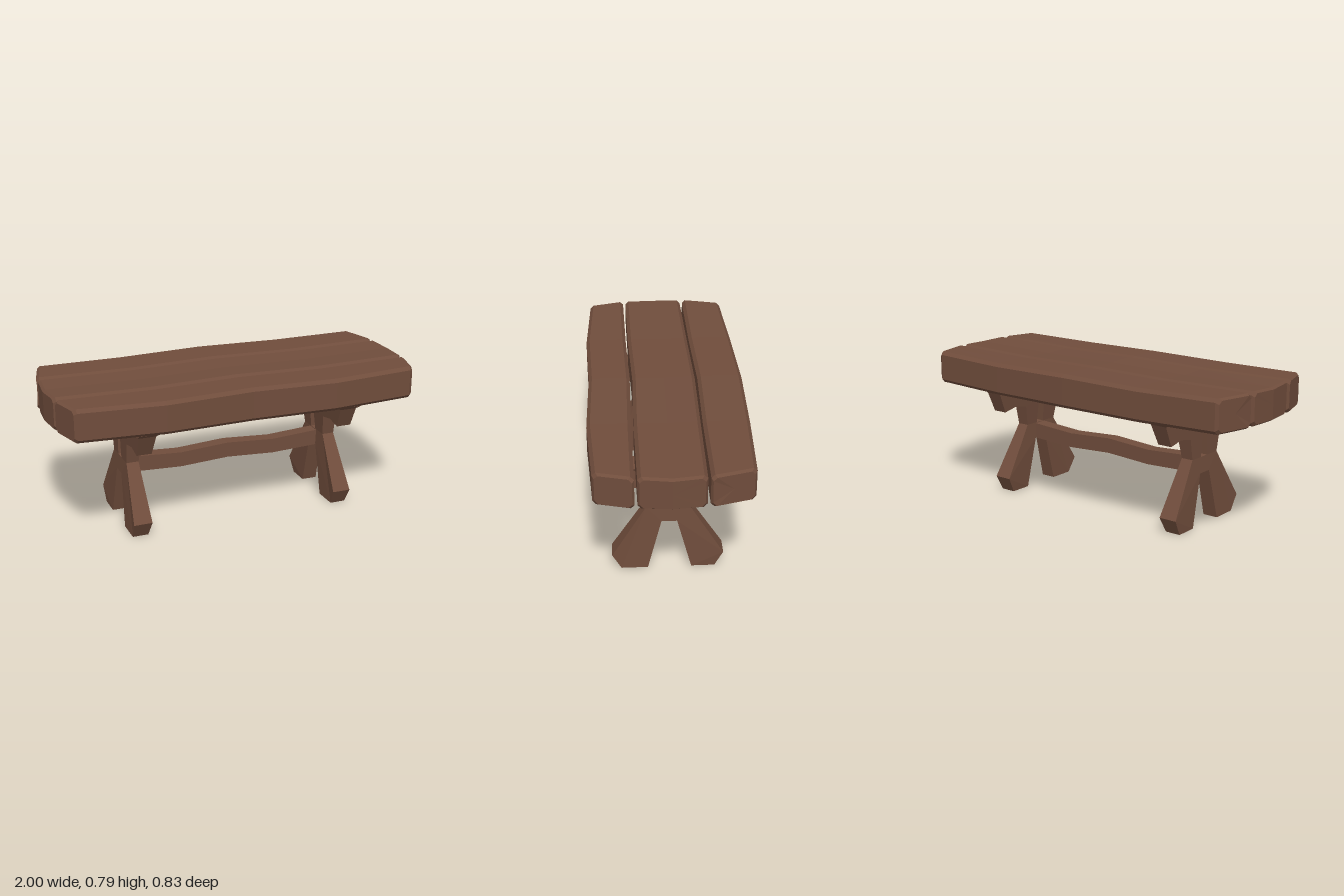
import * as THREE from 'three';

// Skin closed rings of [x, y, z] points (ordered along +x) and cap both ends
function loft(rings) {
  const pos = [];
  const tri = (a, b, c) => pos.push(...a, ...b, ...c);
  const n = rings[0].length;
  const centre = (r) => [0, 1, 2].map((k) => r.reduce((s, p) => s + p[k], 0) / n);
  // caps fan out from the middle of the two mid-width points
  const ridge = (r) => r.mids ? [0, 1, 2].map((k) => (r.mids[0][k] + r.mids[1][k]) / 2) : centre(r);
  const last = rings.length - 1;
  for (let i = 0; i < n; i++) {
    const j = (i + 1) % n;
    for (let s = 0; s < last; s++) {
      const A = rings[s], B = rings[s + 1];
      tri(A[i], A[j], B[j]);
      tri(A[i], B[j], B[i]);
    }
    tri(ridge(rings[last]), rings[last][i], rings[last][j]);
    tri(ridge(rings[0]), rings[0][j], rings[0][i]);
  }
  const geo = new THREE.BufferGeometry();
  geo.setAttribute('position', new THREE.Float32BufferAttribute(pos, 3));
  geo.computeVertexNormals();
  return geo;
}

// Chamfered plank section; xAt gives the x of a point from its z
function plankRing(xAt, z0, z1, y0, y1, inset, dip) {
  z0 += inset; z1 -= inset; y0 += inset; y1 -= inset;
  const cz = 0.018, cy = 0.018, m = (z0 + z1) / 2;
  const ring = [
    [z0, y0 + cy], [z0, y1 - cy], [z0 + cz, y1], [m, y1 - dip], [z1 - cz, y1],
    [z1, y1 - cy], [z1, y0 + cy], [z1 - cz, y0], [m, y0], [z0 + cz, y0],
  ].map(([z, y]) => [xAt(z), y, z]);
  ring.mids = [ring[3], ring[8]];
  return ring;
}

// zs lists [back, front] edges at the ends, the quarter points and the middle
function plank(zs, endX, dip) {
  const [end, quarter, mid] = zs;
  return loft([
    plankRing((z) => -endX(z), ...end, 0.612, 0.788, 0.01, dip),
    plankRing((z) => -endX(z) + 0.014, ...end, 0.612, 0.788, 0, dip),
    plankRing(() => -0.47, ...quarter, 0.605, 0.78, 0, dip),
    plankRing(() => 0, ...mid, 0.607, 0.787, 0, dip),
    plankRing(() => 0.47, ...quarter, 0.605, 0.78, 0, dip),
    plankRing((z) => endX(z) - 0.014, ...end, 0.612, 0.788, 0, dip),
    plankRing((z) => endX(z), ...end, 0.612, 0.788, 0.01, dip),
  ]);
}

// Inner and outer x of a trestle at height y
const WIDTHS = [
  [0, 0.535, 0.62], [0.085, 0.525, 0.625], [0.365, 0.537, 0.603],
  [0.48, 0.525, 0.605], [0.59, 0.515, 0.607], [0.607, 0.5, 0.625],
];
function trestleSpan(y) {
  let k = 0;
  while (k < WIDTHS.length - 2 && y > WIDTHS[k + 1][0]) k++;
  const a = WIDTHS[k], b = WIDTHS[k + 1];
  const t = THREE.MathUtils.clamp((y - a[0]) / (b[0] - a[0]), 0, 1);
  return [a[1] + (b[1] - a[1]) * t, a[2] + (b[2] - a[2]) * t];
}

// Cut-out trestle: splayed feet, waist with a slot, and brackets under the top
function trestle(side) {
  const pts = (list) => list.map(([z, y]) => new THREE.Vector2(z, y));
  const shape = new THREE.Shape(pts([
    [0.255, 0], [0.302, 0.085], [0.125, 0.365], [0.148, 0.478], [0.232, 0.495],
    [0.315, 0.478], [0.368, 0.59], [0.39, 0.607], [-0.36, 0.607], [-0.34, 0.59],
    [-0.29, 0.478], [-0.205, 0.495], [-0.12, 0.478], [-0.098, 0.365],
    [-0.272, 0.085], [-0.228, 0], [-0.107, 0], [-0.033, 0.28], [0.047, 0.28], [0.118, 0],
  ]));
  shape.holes.push(new THREE.Path(pts([[0.035, 0.365], [-0.02, 0.365], [-0.011, 0.51], [0.026, 0.51]])));
  const geo = new THREE.ExtrudeGeometry(shape, { depth: 1, bevelEnabled: false });
  geo.translate(0, 0, -0.5);
  geo.rotateY(-Math.PI / 2);
  const p = geo.attributes.position;
  for (let i = 0; i < p.count; i++) {
    const [inner, outer] = trestleSpan(p.getY(i));
    p.setX(i, side * (inner + outer) / 2 + p.getX(i) * (outer - inner));
  }
  geo.computeVertexNormals();
  return geo;
}

// Wavy bar joining the trestles
function stretcher() {
  const stations = [[-0.56, 0.277, 0.363], [-0.27, 0.265, 0.346], [0, 0.28, 0.363], [0.27, 0.265, 0.346], [0.56, 0.277, 0.363]];
  return loft(stations.map(([x, y0, y1]) => [[x, y0, -0.03], [x, y1, -0.03], [x, y1, 0.045], [x, y0, 0.045]]));
}

export function createModel() {
  const model = new THREE.Group();
  model.name = 'table';
  const wood = new THREE.MeshStandardMaterial({ color: 0x704d3c });
  wood.name = 'brown wood';
  const add = (name, geo) => {
    const mesh = new THREE.Mesh(geo, wood);
    mesh.name = name;
    model.add(mesh);
  };

  // Table top
  const slanted = (z) => 0.985 - 0.27 * Math.max(0, Math.abs(z) - 0.19);
  add('frontPlank', plank([[0.192, 0.388], [0.19, 0.412], [0.182, 0.4]], slanted, 0));
  add('middlePlank', plank([[-0.15, 0.178], [-0.158, 0.178], [-0.165, 0.168]], (z) => 1 - 0.1 * Math.abs(z), 0.005));
  add('backPlank', plank([[-0.385, -0.164], [-0.405, -0.168], [-0.415, -0.178]], slanted, 0));

  // Supports
  add('leftTrestle', trestle(1));
  add('rightTrestle', trestle(-1));
  add('stretcher', stretcher());
  return model;
}
